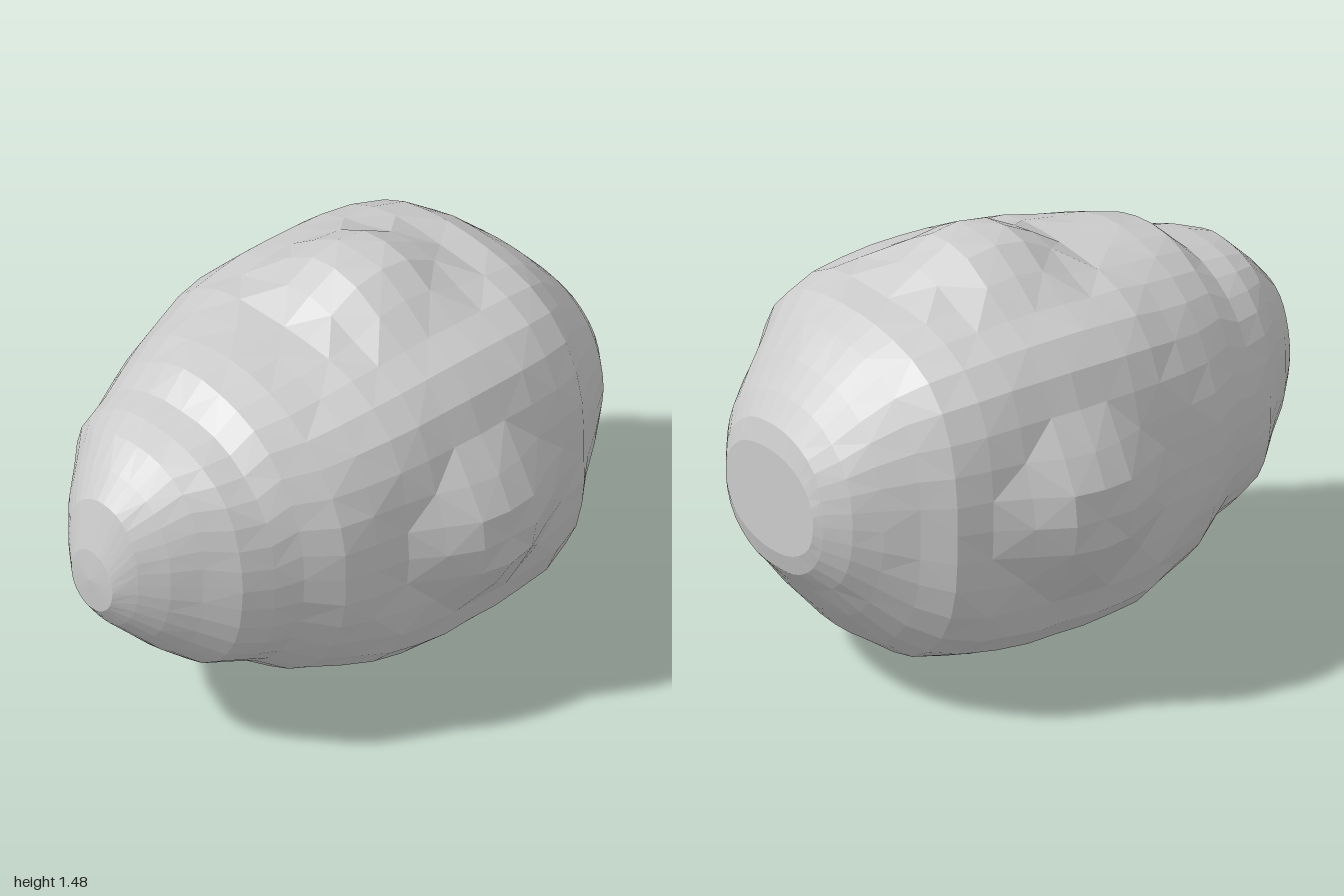
import * as THREE from 'three';

// Cross-sections from back to front: z, half width, bottom y, top y, squareness
const SECTIONS = [
  [-1.0, 0.25, 0.56, 0.92, 2.2],
  [-0.98, 0.28, 0.49, 1.0, 2.3],
  [-0.92, 0.36, 0.42, 1.08, 2.3],
  [-0.84, 0.42, 0.32, 1.17, 2.4],
  [-0.74, 0.49, 0.21, 1.26, 2.6],
  [-0.65, 0.57, 0.155, 1.315, 2.8],
  [-0.53, 0.6, 0.135, 1.335, 3.1],
  [-0.41, 0.605, 0.13, 1.34, 3.4],
  [-0.29, 0.605, 0.13, 1.34, 3.6],
  [-0.18, 0.605, 0.13, 1.34, 3.6],
  [-0.07, 0.605, 0.13, 1.34, 3.6],
  [0.04, 0.605, 0.13, 1.34, 3.4],
  [0.15, 0.6, 0.135, 1.34, 3.1],
  [0.27, 0.59, 0.145, 1.338, 2.5],
  [0.39, 0.57, 0.16, 1.335, 2.15],
  [0.51, 0.5, 0.24, 1.31, 2.1],
  [0.6, 0.46, 0.29, 1.23, 2.3],
  [0.7, 0.41, 0.33, 1.21, 2.4],
  [0.79, 0.32, 0.4, 1.18, 2.4],
  [0.87, 0.25, 0.48, 1.1, 2.3],
  [0.94, 0.17, 0.55, 1.02, 2.2],
  [0.99, 0.1, 0.62, 0.85, 2],
];
const SIDES = 36;
const MID_Y = 0.74;
const BUMP_Z = -0.18;

// Rounded plateau: 1 in the middle, fading to 0 at the rim
const bump = (a, b) => 1 - THREE.MathUtils.smoothstep(Math.hypot(a, b), 0.09, 0.37);

// A point on a section, pushed out by the four side bumps
function surfacePoint([z, w, bottom, top, n], angle, ripple) {
  const c = Math.cos(angle), s = Math.sin(angle);
  const r = (Math.abs(c) ** n + Math.abs(s) ** n) ** (-1 / n) * (1 + ripple);
  const mid = (top + bottom) / 2, half = (top - bottom) / 2;
  const x = r * c * w, y = mid + r * s * half;
  const sideways = Math.abs(c) > Math.abs(s);
  const dx = sideways ? Math.sign(c) * 0.133 * bump(y - MID_Y, z - BUMP_Z) : 0;
  const dy = sideways ? 0 : Math.sign(s) * 0.133 * bump(x, z - BUMP_Z);
  return [x + dx, y + dy, z];
}

function rockGeometry() {
  const positions = [], index = [];
  SECTIONS.forEach((section, i) => {
    for (let j = 0; j < SIDES; j++) {
      // Slight unevenness gives the facets a hewn look
      const ripple = 0.006 * Math.sin(i * 2.3 + j * 1.7) * Math.sin(j * 2.9 - i);
      positions.push(...surfacePoint(section, (j / SIDES) * Math.PI * 2, ripple));
    }
  });
  const last = SECTIONS.length - 1;
  for (let i = 0; i < last; i++) {
    for (let j = 0; j < SIDES; j++) {
      const k = (j + 1) % SIDES;
      const a = i * SIDES + j, b = i * SIDES + k;
      const c = b + SIDES, d = a + SIDES;
      if ((i + j) % 2) index.push(a, b, c, a, c, d);
      else index.push(a, b, d, b, c, d);
    }
  }
  // Close the back and the nose
  const back = positions.length / 3, nose = back + 1;
  positions.push(0, MID_Y, -1, 0, MID_Y, 1);
  for (let j = 0; j < SIDES; j++) {
    const k = (j + 1) % SIDES;
    index.push(back, k, j, nose, last * SIDES + j, last * SIDES + k);
  }
  const indexed = new THREE.BufferGeometry();
  indexed.setAttribute('position', new THREE.Float32BufferAttribute(positions, 3));
  indexed.setIndex(index);
  const geometry = indexed.toNonIndexed();
  geometry.computeVertexNormals();
  return geometry;
}

export function createModel() {
  const group = new THREE.Group();
  group.name = 'boulder';
  const material = new THREE.MeshStandardMaterial({ color: 0xcccccc, flatShading: true });
  const rock = new THREE.Mesh(rockGeometry(), material);
  rock.name = 'rock';
  group.add(rock);
  return group;
}
